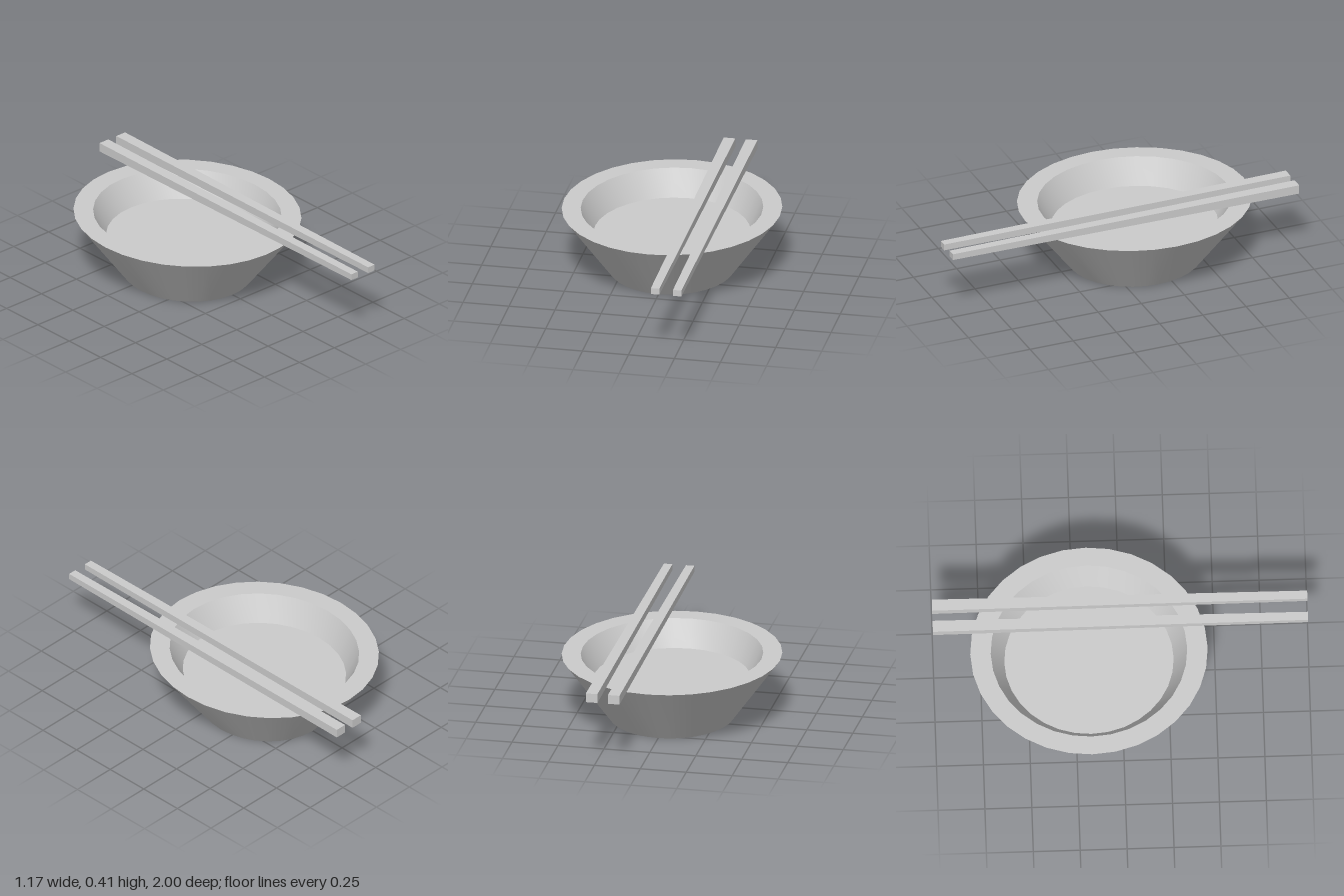
import * as THREE from 'three';
import { toCreasedNormals } from 'three/addons/utils/BufferGeometryUtils.js';

const material = new THREE.MeshStandardMaterial({ color: 0xcccccc });

// Slightly oval bowl: base, outer wall, flat rim, inner wall, floor
function makeBowl() {
  const profile = [[0, 0], [0.333, 0], [0.586, 0.35], [0.485, 0.35], [0.418, 0.207], [0, 0.207]]
    .map(([r, y]) => new THREE.Vector2(r, y));
  const geometry = new THREE.LatheGeometry(profile, 32);
  geometry.scale(1, 1, 1.08);
  const bowl = new THREE.Mesh(toCreasedNormals(geometry, 0.5), material);
  bowl.name = 'bowl';
  bowl.position.z = -0.172;
  return bowl;
}

// Square stick, thick at the back and tapering towards the front
function makeChopstick(name, x) {
  const geometry = new THREE.BoxGeometry(0.063, 0.05, 2);
  const pos = geometry.attributes.position;
  for (let i = 0; i < pos.count; i++) {
    if (pos.getZ(i) > 0) pos.setXY(i, pos.getX(i) * 0.73, pos.getY(i) * 0.69);
  }
  geometry.computeVertexNormals();
  const stick = new THREE.Mesh(geometry, material);
  stick.name = name;
  stick.position.set(x, 0.382, 0);
  return stick;
}

export function createModel() {
  const model = new THREE.Group();
  model.name = 'bowlWithChopsticks';
  model.add(makeBowl(), makeChopstick('rightChopstick', 0.145), makeChopstick('leftChopstick', 0.265));
  return model;
}
